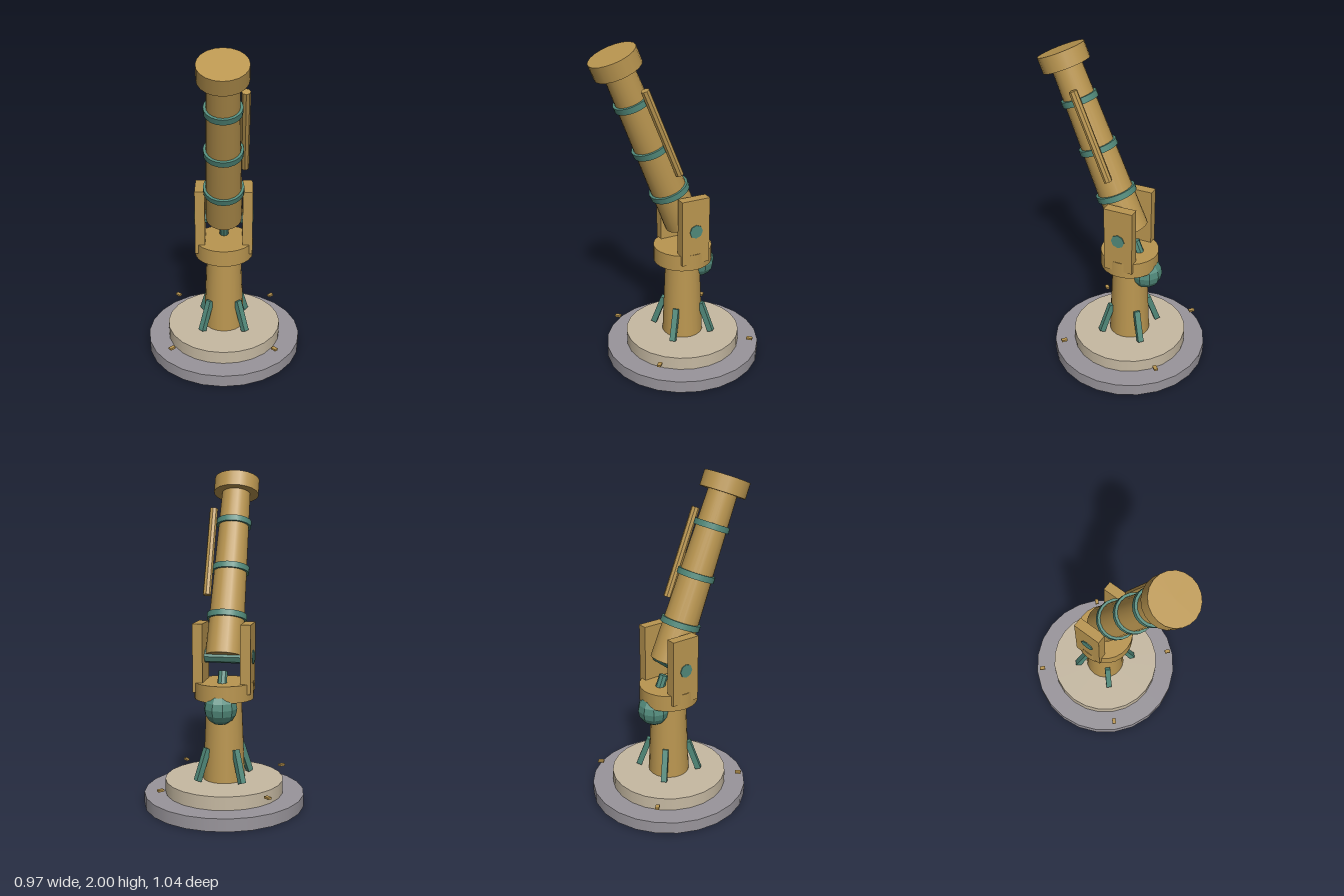
import * as THREE from 'three';

const mat = (name, color, flatShading = false) => {
  const m = new THREE.MeshStandardMaterial({ color, flatShading });
  m.name = name;
  return m;
};

export function createModel() {
  const brass = mat('brass', 0xba9650);
  const teal = mat('teal', 0x51897a);
  const stone = mat('cream stone', 0xc6b9a2);
  const grey = mat('grey stone', 0x99959b);

  const model = new THREE.Group();
  model.name = 'telescope';
  // Everything stands around the pedestal axis
  const stand = new THREE.Group();
  stand.name = 'stand';
  stand.position.z = -0.037;
  model.add(stand);

  const add = (parent, name, geometry, material, x = 0, y = 0, z = 0) => {
    const mesh = new THREE.Mesh(geometry, material);
    mesh.name = name;
    mesh.position.set(x, y, z);
    parent.add(mesh);
    return mesh;
  };
  // Upright cylinder between two heights
  const drum = (parent, name, material, rTop, rBottom, y0, y1, sides, x = 0, z = 0) =>
    add(parent, name, new THREE.CylinderGeometry(rTop, rBottom, y1 - y0, sides), material, x, (y0 + y1) / 2, z);
  // Separate facets for few-sided parts
  const facet = (mesh) => {
    mesh.geometry = mesh.geometry.toNonIndexed();
    mesh.geometry.computeVertexNormals();
    return mesh;
  };

  // Base and pedestal
  drum(stand, 'baseDisc', grey, 0.483, 0.483, 0, 0.075, 24);
  drum(stand, 'upperDisc', stone, 0.356, 0.356, 0.075, 0.155, 24);
  drum(stand, 'pedestal', brass, 0.106, 0.127, 0.155, 0.66, 20);
  drum(stand, 'collar', brass, 0.178, 0.178, 0.65, 0.75, 24);

  // Four diagonal braces and four small base plates
  for (let i = 0; i < 4; i++) {
    const spoke = new THREE.Group();
    spoke.name = 'baseSpoke';
    spoke.rotation.y = Math.PI / 4 + (i * Math.PI) / 2;
    stand.add(spoke);
    const brace = add(spoke, 'brace', new THREE.BoxGeometry(0.035, 0.2, 0.035), teal, 0, 0.26, 0.155);
    brace.rotation.x = -0.35;
    add(spoke, 'basePlate', new THREE.BoxGeometry(0.023, 0.012, 0.036), brass, 0, 0.155, 0.441);
  }

  // Drive housing behind the pedestal
  facet(add(stand, 'driveHousing', new THREE.SphereGeometry(0.1, 10, 8), teal, 0, 0.61, -0.11));

  // Fork arms and the pivot rod through them
  for (const side of [-1, 1]) {
    add(stand, side > 0 ? 'leftForkArm' : 'rightForkArm',
      new THREE.BoxGeometry(0.06, 0.41, 0.18), brass, side * 0.143, 0.895, 0);
  }
  const pivot = facet(add(stand, 'pivotRod', new THREE.CylinderGeometry(0.042, 0.042, 0.358, 8), teal, 0, 0.9, 0));
  pivot.rotation.z = Math.PI / 2;

  // Tilted tube assembly, turning on the pivot
  const tube = new THREE.Group();
  tube.name = 'tubeAssembly';
  tube.position.y = 0.9;
  tube.rotation.x = 0.385;
  stand.add(tube);

  const rBottom = 0.112, rTop = 0.088, length = 1.05;
  drum(tube, 'mainTube', brass, rTop, rBottom, 0, length, 20);
  drum(tube, 'frontCap', brass, 0.14, 0.14, 1.04, 1.135, 20);
  for (const s of [0.24, 0.54, 0.84]) {
    const r = rBottom + ((rTop - rBottom) * s) / length + 0.015;
    drum(tube, 'band', teal, r, r, s - 0.018, s + 0.018, 20);
  }
  facet(drum(tube, 'finderScope', brass, 0.025, 0.025, 0.36, 0.915, 8, 0.122, -0.057));
  facet(drum(tube, 'eyepiece', teal, 0.028, 0.028, -0.172, -0.092, 8));

  return model;
}
